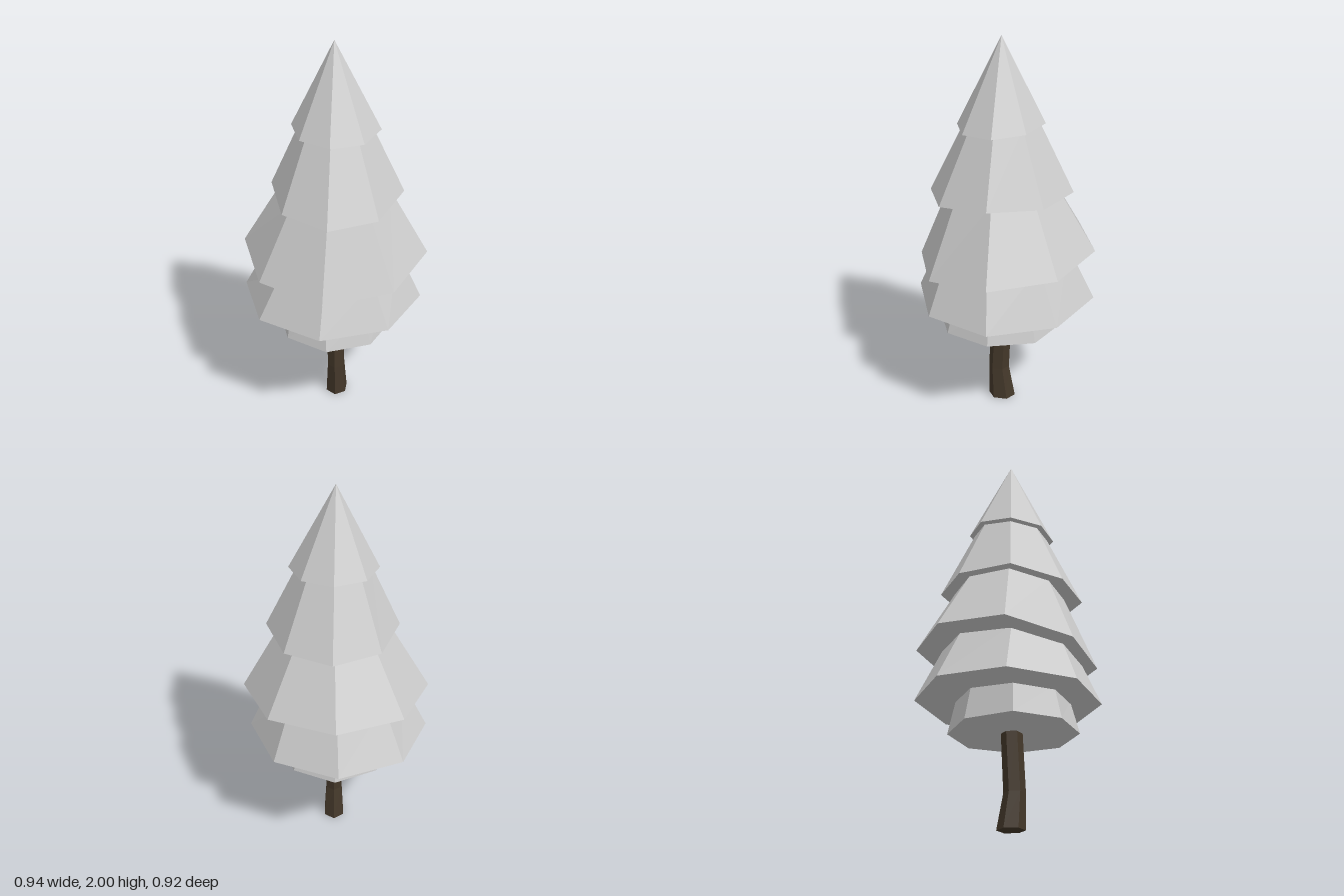
import * as THREE from 'three';

// One ring of points. Extents in x and z, heights at its back, middle and front.
function ring([x0, x1, z0, z1, yBack, yMid, yFront], sides) {
  const points = [];
  for (let i = 0; i < sides; i++) {
    const a = (i / sides) * Math.PI * 2;
    const s = Math.sin(a), c = Math.cos(a);
    const y = c > 0 ? yMid + (yFront - yMid) * c : yMid + (yMid - yBack) * c;
    points.push(new THREE.Vector3((x0 + x1) / 2 + (s * (x1 - x0)) / 2, y, (z0 + z1) / 2 + (c * (z1 - z0)) / 2));
  }
  return points;
}

// Closed faceted solid through rings listed from bottom to top.
function loft(name, specs, sides, material) {
  const rings = specs.map((s) => ring(s, sides));
  const pos = [];
  const tri = (...pts) => pts.forEach((p) => pos.push(p.x, p.y, p.z));
  const middle = (r) => r.reduce((m, p) => m.add(p), new THREE.Vector3()).divideScalar(sides);
  const bottom = rings[0], top = rings[rings.length - 1];
  const bottomMid = middle(bottom), topMid = middle(top);
  for (let i = 0; i < sides; i++) {
    const j = (i + 1) % sides;
    for (let k = 0; k + 1 < rings.length; k++) {
      const lo = rings[k], hi = rings[k + 1];
      tri(lo[i], lo[j], hi[j]);
      tri(lo[i], hi[j], hi[i]);
    }
    tri(bottomMid, bottom[j], bottom[i]);
    tri(topMid, top[i], top[j]);
  }
  const geometry = new THREE.BufferGeometry();
  geometry.setAttribute('position', new THREE.Float32BufferAttribute(pos, 3));
  geometry.computeVertexNormals();
  const mesh = new THREE.Mesh(geometry, material);
  mesh.name = name;
  return mesh;
}

export function createModel() {
  const tree = new THREE.Group();
  tree.name = 'pineTree';
  const foliage = new THREE.MeshStandardMaterial({ color: 0xcccccc, flatShading: true });
  const bark = new THREE.MeshStandardMaterial({ color: 0x44382a, flatShading: true });

  // Six-sided trunk with a bend above the foot
  tree.add(loft('trunk', [
    [-0.046, 0.07, -0.055, 0.085, 0, 0, 0],
    [-0.036, 0.058, -0.022, 0.086, 0.18, 0.18, 0.18],
    [-0.042, 0.053, -0.036, 0.07, 0.52, 0.52, 0.52],
  ], 6, bark));

  // Tilted eight-sided tiers, lowest first: lower rim, then upper rim tucked into the next tier
  const tiers = [
    [[-0.295, 0.305, -0.295, 0.35, 0.475, 0.48, 0.475], [-0.27, 0.26, -0.25, 0.305, 0.67, 0.66, 0.64]],
    [[-0.47, 0.445, -0.46, 0.46, 0.645, 0.628, 0.62], [-0.33, 0.32, -0.32, 0.365, 0.93, 0.9, 0.84]],
    [[-0.47, 0.47, -0.46, 0.445, 0.92, 0.89, 0.815], [-0.26, 0.27, -0.265, 0.285, 1.25, 1.25, 1.21]],
    [[-0.315, 0.345, -0.345, 0.38, 1.24, 1.243, 1.19], [-0.165, 0.18, -0.165, 0.2, 1.6, 1.585, 1.565]],
    [[-0.21, 0.228, -0.2, 0.238, 1.585, 1.565, 1.548], [0, 0, 0.018, 0.018, 2, 2, 2]],
  ];
  tiers.forEach((rims, i) => tree.add(loft(`foliageTier${i + 1}`, rims, 8, foliage)));
  return tree;
}
